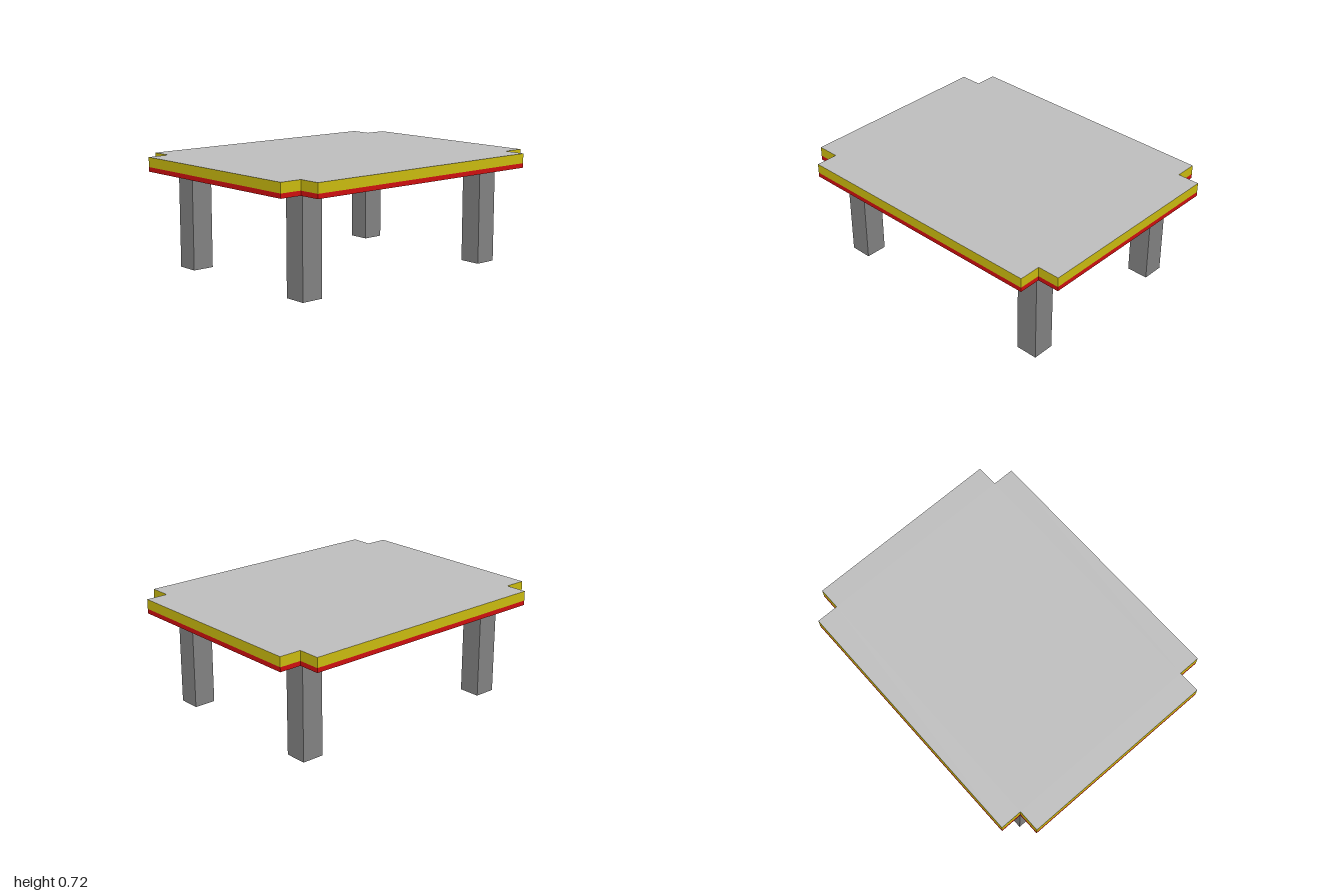
import * as THREE from 'three';

const material = (name, color) => {
  const m = new THREE.MeshStandardMaterial({ color });
  m.name = name;
  return m;
};

// Rectangle with a square notch cut from each corner
function notchedOutline(halfX, halfZ, notch) {
  const x = halfX - notch, z = halfZ - notch;
  return new THREE.Shape([
    [x, -halfZ], [x, -z], [halfX, -z], [halfX, z], [x, z], [x, halfZ],
    [-x, halfZ], [-x, z], [-halfX, z], [-halfX, -z], [-x, -z], [-x, -halfZ],
  ].map(([px, pz]) => new THREE.Vector2(px, pz)));
}

export function createModel() {
  const surface = material('light grey surface', 0xc0c0c0);
  const yellow = material('yellow edge', 0xcfbf10);
  const red = material('red edge', 0xd41010);
  const grey = material('grey legs', 0x858585);

  const table = new THREE.Group();
  table.name = 'table';
  const outline = notchedOutline(1, 0.79, 0.143);

  // Layered top: grey faces with coloured edges
  const addSlab = (name, bottom, top, edge) => {
    const geometry = new THREE.ExtrudeGeometry(outline, { depth: top - bottom, bevelEnabled: false });
    geometry.rotateX(-Math.PI / 2);
    const slab = new THREE.Mesh(geometry, [surface, edge]);
    slab.name = name;
    slab.position.y = bottom;
    table.add(slab);
  };
  addSlab('lowerTop', 0.626, 0.655, red);
  addSlab('upperTop', 0.655, 0.717, yellow);

  // Four square legs
  const legGeometry = new THREE.BoxGeometry(0.143, 0.626, 0.143);
  for (const [side, x] of [['Left', 0.733], ['Right', -0.737]]) {
    for (const [end, z] of [['front', 0.53], ['back', -0.53]]) {
      const leg = new THREE.Mesh(legGeometry, grey);
      leg.name = `${end}${side}Leg`;
      leg.position.set(x, 0.313, z);
      table.add(leg);
    }
  }
  return table;
}
